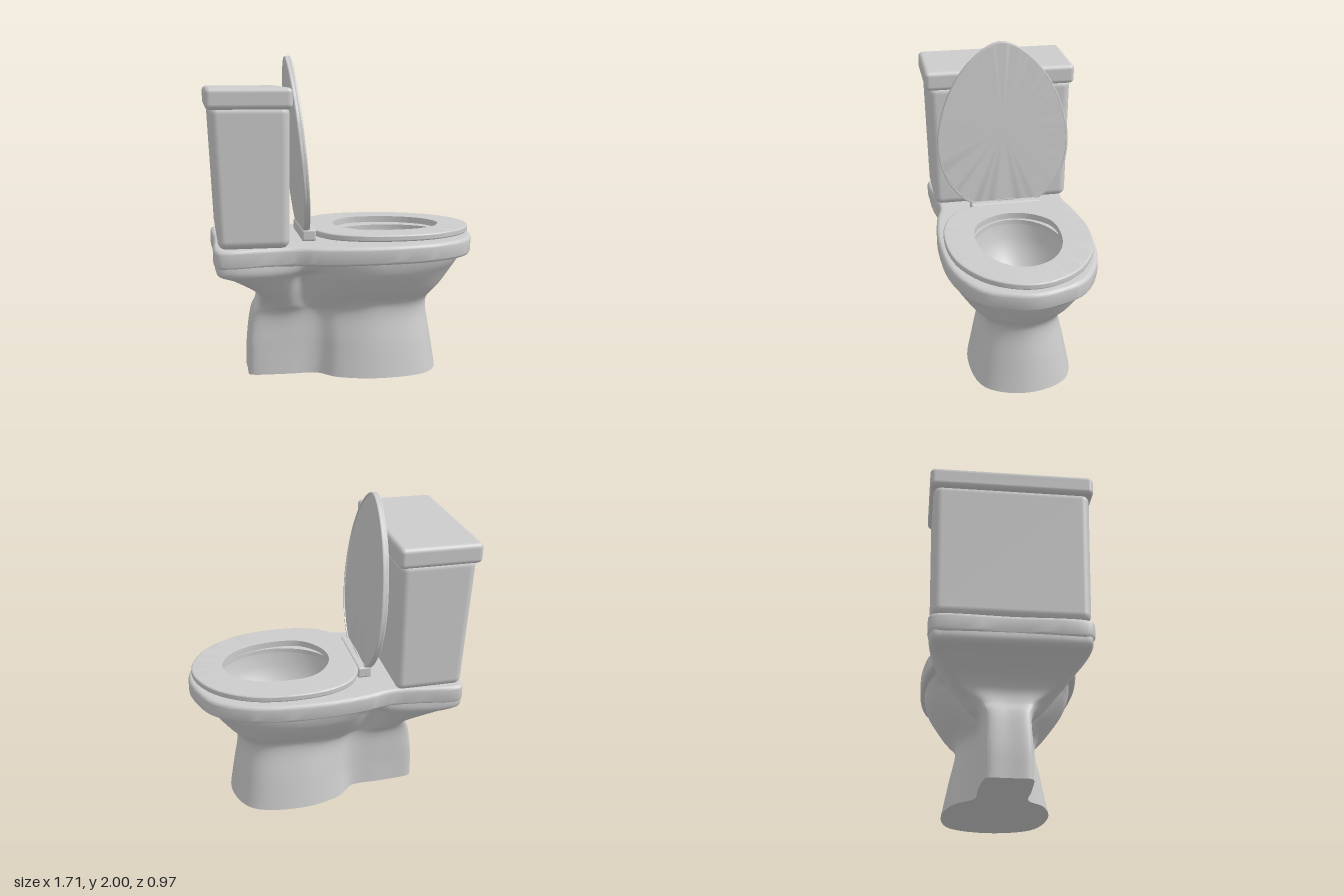
import * as THREE from 'three';
import { toCreasedNormals } from 'three/addons/utils/BufferGeometryUtils.js';
import { RoundedBoxGeometry } from 'three/addons/geometries/RoundedBoxGeometry.js';

const material = new THREE.MeshStandardMaterial({ color: 0xcccccc });
const COUNT = 96; // points in every ring

function addMesh(parent, name, geometry) {
  const mesh = new THREE.Mesh(geometry, material);
  mesh.name = name;
  parent.add(mesh);
  return mesh;
}

// Smooth closed outline from half of its [x, z] points, mirrored across z = 0
function outline(half) {
  const mirrored = half.slice(1, -1).reverse().map(([x, z]) => [x, -z]);
  const points = [...half, ...mirrored].map(([x, z]) => new THREE.Vector3(x, 0, z));
  return new THREE.CatmullRomCurve3(points, true).getPoints(COUNT).slice(0, -1);
}

function ellipse(cx, rx, rz) {
  return Array.from({ length: COUNT }, (_, i) => {
    const a = (i / COUNT) * Math.PI * 2;
    return new THREE.Vector3(cx - rx * Math.cos(a), 0, rz * Math.sin(a));
  });
}

const ringAt = (points, y) => points.map((p) => new THREE.Vector3(p.x, y, p.z));

// Shrinks an outline by a margin along x and z
function inset(points, margin) {
  const size = new THREE.Box3().setFromPoints(points);
  const center = size.getCenter(new THREE.Vector3());
  const half = size.getSize(new THREE.Vector3()).multiplyScalar(0.5);
  return points.map((p) => new THREE.Vector3(
    center.x + (p.x - center.x) * (1 - margin / half.x), 0, p.z * (1 - margin / half.z)));
}

// Skin over rings with equal point counts
function loft(rings, crease) {
  const n = rings[0].length;
  const index = [];
  for (let i = 0; i < rings.length - 1; i++) {
    for (let j = 0; j < n; j++) {
      const k = (j + 1) % n;
      const a = i * n + j, b = i * n + k, c = b + n, d = a + n;
      index.push(a, b, c, a, c, d);
    }
  }
  const geometry = new THREE.BufferGeometry().setFromPoints(rings.flat());
  geometry.setIndex(index);
  return toCreasedNormals(geometry, crease);
}

// Flat slab with rounded outer edges; inner is its opening, or one point when solid
function slab(outer, inner, yBottom, yTop, radius) {
  const steps = 5;
  const rings = [ringAt(inner, yBottom), ringAt(inset(outer, radius * 1.6), yBottom)];
  for (const side of [-1, 1]) {
    for (let i = 0; i <= steps; i++) {
      const a = ((side < 0 ? i - steps : i) / steps) * Math.PI / 2;
      const y = (side < 0 ? yBottom + radius : yTop - radius) + radius * Math.sin(a);
      rings.push(ringAt(inset(outer, radius * (1 - Math.cos(a))), y));
    }
  }
  rings.push(ringAt(inset(outer, radius * 1.6), yTop), ringAt(inner, yTop), ringAt(inner, yBottom));
  return loft(rings, 0.5);
}

// Half sections: back, back corner, bracket side, waist, shoulder, widest, fore, front tip
const SECTIONS = [
  [0, [-0.61, 0], [-0.595, 0.13], [-0.38, 0.15], [-0.18, 0.16], [-0.07, 0.26], [0.2, 0.33], [0.52, 0.26], [0.62, 0]],
  [0.2, [-0.605, 0], [-0.59, 0.13], [-0.38, 0.14], [-0.17, 0.15], [-0.05, 0.23], [0.2, 0.29], [0.49, 0.23], [0.59, 0]],
  [0.4, [-0.575, 0], [-0.56, 0.13], [-0.38, 0.15], [-0.19, 0.14], [-0.06, 0.2], [0.2, 0.25], [0.46, 0.2], [0.56, 0]],
  [0.46, [-0.545, 0], [-0.53, 0.16], [-0.385, 0.215], [-0.25, 0.16], [-0.08, 0.23], [0.2, 0.26], [0.47, 0.21], [0.57, 0]],
  [0.55, [-0.55, 0], [-0.54, 0.27], [-0.38, 0.29], [-0.27, 0.21], [-0.12, 0.3], [0.2, 0.34], [0.52, 0.27], [0.65, 0]],
  [0.67, [-0.71, 0], [-0.69, 0.4], [-0.37, 0.37], [-0.28, 0.29], [-0.14, 0.38], [0.2, 0.43], [0.57, 0.33], [0.74, 0]],
  [0.72, [-0.805, 0], [-0.79, 0.445], [-0.36, 0.405], [-0.26, 0.37], [-0.1, 0.42], [0.2, 0.45], [0.6, 0.35], [0.77, 0]],
  [0.79, [-0.81, 0], [-0.795, 0.45], [-0.36, 0.41], [-0.25, 0.42], [-0.08, 0.45], [0.15, 0.465], [0.62, 0.37], [0.82, 0]],
];

function pedestalGeometry() {
  const columns = Array.from({ length: 8 }, (_, k) => new THREE.CatmullRomCurve3(
    SECTIONS.map(([y, ...half]) => new THREE.Vector3(half[k][0], y, half[k][1]))));
  const rings = [];
  const levels = 42;
  for (let i = 0; i <= levels; i++) {
    const row = columns.map((c) => c.getPoint(i / levels));
    // Extra point keeps the back flat
    row.splice(1, 0, new THREE.Vector3(row[0].x, row[0].y, row[1].z * 0.85));
    const mirrored = row.slice(1, -1).reverse().map((p) => new THREE.Vector3(p.x, p.y, -p.z));
    rings.push(new THREE.CatmullRomCurve3([...row, ...mirrored], true).getPoints(COUNT).slice(0, -1));
  }
  // Flat underside closes to a single point
  rings.unshift(rings[0].map(() => new THREE.Vector3(0.05, 0, 0)));
  return loft(rings, 0.7);
}

function tankGeometry() {
  const height = 0.84;
  const geometry = new RoundedBoxGeometry(0.466, height, 0.93, 5, 0.05);
  const p = geometry.attributes.position;
  for (let i = 0; i < p.count; i++) {
    const down = 0.5 - p.getY(i) / height;
    p.setX(i, p.getX(i) * (1 - 0.1 * down) + 0.016 * down);
    p.setZ(i, p.getZ(i) * (1 - 0.03 * down));
  }
  return geometry.translate(-0.603, 0.87 + height / 2, 0);
}

export function createModel() {
  const model = new THREE.Group();
  model.name = 'toilet';

  // Base and bowl
  addMesh(model, 'pedestal', pedestalGeometry());
  const rimOutline = outline([[-0.815, 0], [-0.815, 0.43], [-0.785, 0.465], [-0.36, 0.425], [-0.2, 0.46],
    [0.1, 0.487], [0.5, 0.445], [0.74, 0.31], [0.825, 0.14], [0.853, 0]]);
  addMesh(model, 'rimAndDeck', slab(rimOutline, ellipse(0.29, 0.37, 0.29), 0.755, 0.87, 0.025));

  // Inner bowl running down to the drain
  const basin = [[0.86, 0.29, 0.372, 0.292], [0.75, 0.29, 0.36, 0.28], [0.66, 0.28, 0.31, 0.245],
    [0.58, 0.265, 0.235, 0.19], [0.52, 0.25, 0.15, 0.13], [0.49, 0.24, 0.075, 0.075],
    [0.42, 0.24, 0.07, 0.07], [0.42, 0.24, 0, 0]];
  addMesh(model, 'basin', loft(basin.map(([y, cx, rx, rz]) => ringAt(ellipse(cx, rx, rz), y)), 0.7));

  // Cistern
  addMesh(model, 'tank', tankGeometry());
  addMesh(model, 'tankLid', new RoundedBoxGeometry(0.502, 0.125, 0.972, 5, 0.03).translate(-0.607, 1.748, 0));

  // Seat ring
  const seatOutline = outline([[-0.22, 0], [-0.2, 0.2], [-0.12, 0.35], [0.02, 0.43], [0.24, 0.457],
    [0.5, 0.415], [0.7, 0.29], [0.8, 0.14], [0.83, 0]]);
  const seatHole = outline([[-0.05, 0], [-0.015, 0.13], [0.09, 0.24], [0.25, 0.268], [0.44, 0.235],
    [0.58, 0.14], [0.635, 0]]);
  const seat = addMesh(model, 'seat', slab(seatOutline, seatHole, -0.02, 0.02, 0.01));
  seat.position.y = 0.915;
  seat.rotation.z = -0.01;

  // Hinge bar
  addMesh(model, 'hinge', new RoundedBoxGeometry(0.09, 0.075, 0.46, 3, 0.015).translate(-0.235, 0.905, 0));

  // Raised cover, thin plate with a fine lip around its inner face
  const cover = new THREE.Group();
  cover.name = 'seatCover';
  const coverOutline = outline([[0, 0], [0, 0.22], [0.1, 0.335], [0.25, 0.41], [0.43, 0.43], [0.6, 0.4],
    [0.75, 0.345], [0.88, 0.265], [0.985, 0.165], [1.045, 0.075], [1.065, 0]]);
  addMesh(cover, 'coverPanel', slab(coverOutline, ellipse(0.5, 0, 0), -0.012, 0.02, 0.01));
  addMesh(cover, 'coverLip', slab(coverOutline, inset(coverOutline, 0.012), -0.02, 0.002, 0.005));
  cover.position.set(-0.252, 0.935, 0);
  cover.rotation.z = Math.PI / 2 + 0.082;
  model.add(cover);

  return model;
}
